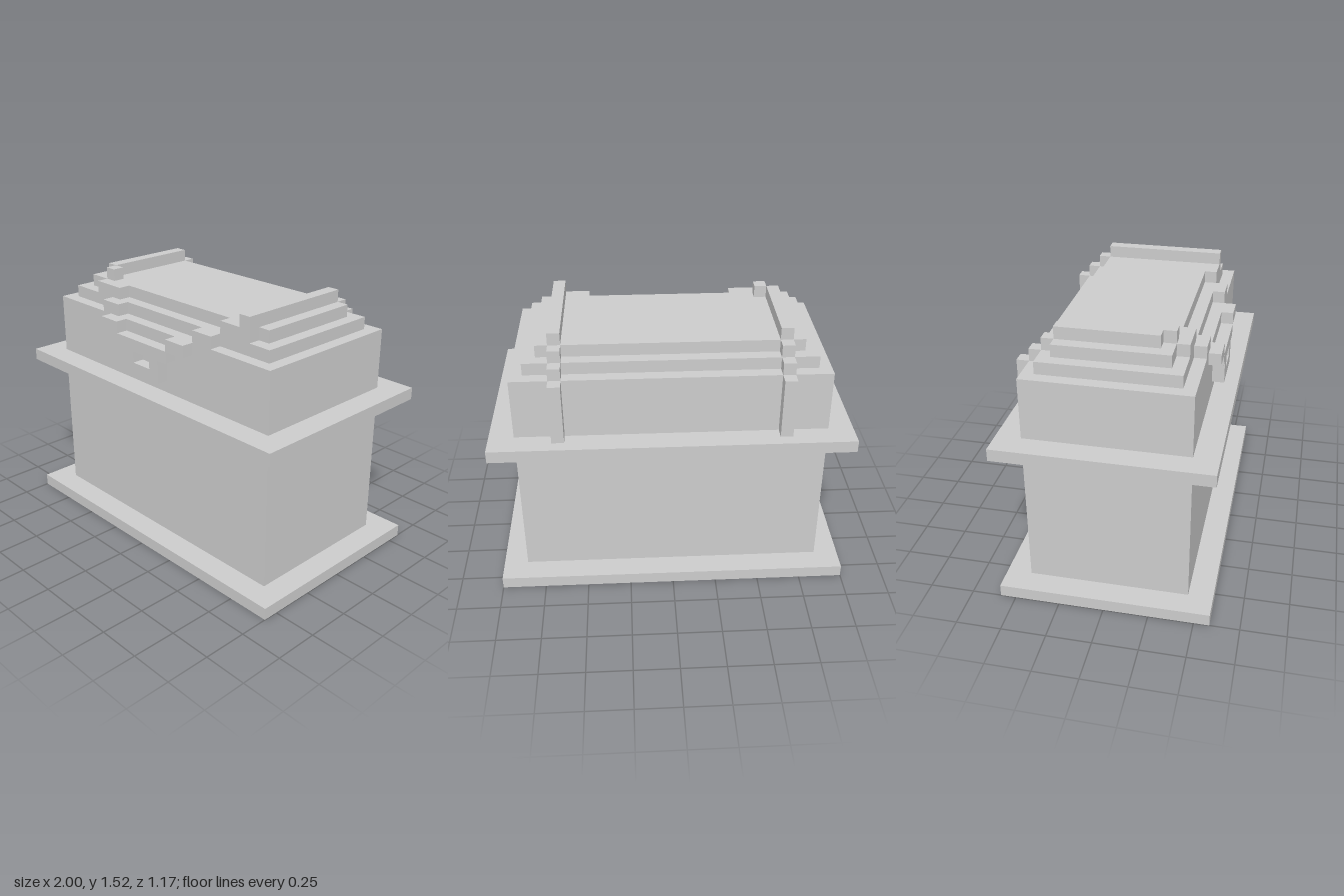
import * as THREE from 'three';

// The whole chest sits on a grid of cubes, 29 wide, 22 high and 17 deep
const U = 2 / 29;

export function createModel() {
  const model = new THREE.Group();
  model.name = 'chest';
  const material = new THREE.MeshStandardMaterial({ color: 0xcccccc, flatShading: true });

  // Box between two corners, in grid units
  const block = (parent, name, x0, x1, y0, y1, z0, z1) => {
    const mesh = new THREE.Mesh(
      new THREE.BoxGeometry((x1 - x0) * U, (y1 - y0) * U, (z1 - z0) * U), material);
    mesh.position.set((x0 + x1) * U / 2, (y0 + y1) * U / 2, (z0 + z1) * U / 2);
    mesh.name = name;
    parent.add(mesh);
  };
  // Slab centred on the chest, given half width and half depth
  const slab = (parent, name, w, d, y0, y1) => block(parent, name, -w, w, y0, y1, -d, d);
  const group = (name) => {
    const g = new THREE.Group();
    g.name = name;
    model.add(g);
    return g;
  };

  // Body with wide base and rim
  slab(model, 'base', 14.5, 8.5, 0, 1);
  slab(model, 'body', 12.5, 6.5, 1, 13);
  slab(model, 'rim', 14.5, 8.5, 13, 14);

  // Stepped lid
  const lid = group('lid');
  slab(lid, 'lidSide', 12.5, 6.5, 14, 19);
  slab(lid, 'lowerStep', 11.5, 5.5, 19, 20);
  slab(lid, 'upperStep', 10.5, 4.5, 20, 21);

  // Straps over the lid, stepping down the back
  for (const [name, x, front] of [['rightStrap', -9.5, 3.5], ['leftStrap', 8.5, 5.5]]) {
    const strap = group(name);
    block(strap, 'strapTop', x, x + 1, 21, 22, -4.5, front);
    block(strap, 'strapUpperStep', x, x + 1, 20, 21, -5.5, -4.5);
    block(strap, 'strapLowerStep', x, x + 1, 19, 20, -6.5, -5.5);
    block(strap, 'strapBack', x, x + 1, 14, 19, -7.5, -6.5);
  }

  // Strap ends slanting down the front steps towards the clasp
  const ends = group('strapEnds');
  block(ends, 'rightEndTop', -8.5, -7.5, 21, 22, 3.5, 4.5);
  block(ends, 'rightEndUpper', -8.5, -5.5, 20, 21, 4.5, 5.5);
  block(ends, 'leftEndUpper', 6.5, 9.5, 20, 21, 4.5, 5.5);
  block(ends, 'rightEndLower', -6.5, -4.5, 19, 20, 5.5, 6.5);
  block(ends, 'leftEndLower', 4.5, 6.5, 19, 20, 5.5, 6.5);

  // Clasp on the front, with an open loop
  const clasp = group('clasp');
  block(clasp, 'claspRightArm', -5.5, -3.5, 18, 19, 6.5, 7.5);
  block(clasp, 'claspLeftArm', 2.5, 4.5, 18, 19, 6.5, 7.5);
  block(clasp, 'claspBar', -3.5, 2.5, 17, 18, 6.5, 7.5);
  block(clasp, 'loopRight', -2.5, -1.5, 16, 17, 6.5, 7.5);
  block(clasp, 'loopLeft', 0.5, 1.5, 16, 17, 6.5, 7.5);
  block(clasp, 'loopBottom', -2.5, 1.5, 15, 16, 6.5, 7.5);

  return model;
}
